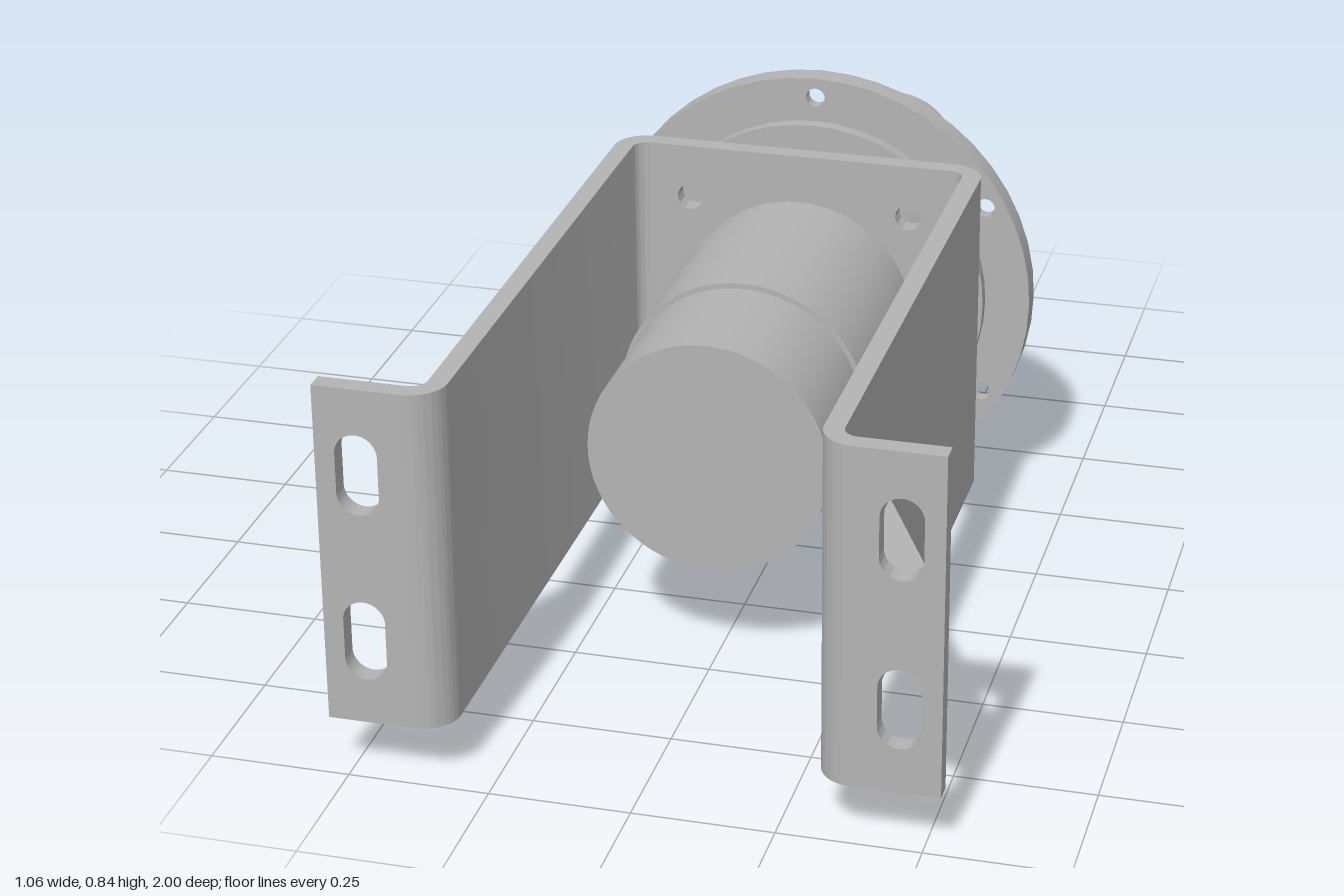
import * as THREE from 'three';
import { toCreasedNormals } from 'three/addons/utils/BufferGeometryUtils.js';

const AXIS_Y = 0.423, BOTTOM = 0.112, TOP = 0.735;

export function createModel() {
  const model = new THREE.Group();
  model.name = 'motorMount';
  const steel = new THREE.MeshStandardMaterial({ color: 0xb4b4b4 });
  steel.name = 'grey steel';

  const add = (parent, name, geometry) => {
    const mesh = new THREE.Mesh(geometry, steel);
    mesh.name = name;
    parent.add(mesh);
    return mesh;
  };
  const extrude = (shape, depth) => toCreasedNormals(
    new THREE.ExtrudeGeometry(shape, { depth, bevelEnabled: false, curveSegments: 24 }), 0.5);
  const circle = (x, y, r) => new THREE.Path().absarc(x, y, r, 0, Math.PI * 2, false);
  const ringOfHoles = (count, radius, r, start) => Array.from({ length: count }, (_, i) => {
    const a = start + i * Math.PI * 2 / count;
    return circle(Math.cos(a) * radius, Math.sin(a) * radius, r);
  });
  const rectangle = (x0, y0, x1, y1) => new THREE.Shape(
    [[x0, y0], [x1, y0], [x1, y1], [x0, y1]].map(p => new THREE.Vector2(...p)));

  // Bracket web with four bolt holes
  const bracket = new THREE.Group();
  bracket.name = 'bracket';
  model.add(bracket);
  const web = rectangle(-0.25, BOTTOM, 0.25, TOP);
  for (const x of [-0.21, 0.21]) for (const y of [-0.21, 0.21]) web.holes.push(circle(x, AXIS_Y + y, 0.025));
  add(bracket, 'bracketWeb', extrude(web, 0.035).translate(0, 0, -0.193));

  // Bent side wall, profile drawn in x and z
  const wall = new THREE.Shape();
  wall.moveTo(0.25, -0.193);
  wall.lineTo(0.288, -0.193);
  wall.absarc(0.288, -0.131, 0.062, -Math.PI / 2, 0, false);
  wall.lineTo(0.35, 0.938);
  wall.absarc(0.377, 0.938, 0.027, Math.PI, Math.PI / 2, true);
  wall.lineTo(0.395, 0.965);
  wall.lineTo(0.395, 1);
  wall.lineTo(0.377, 1);
  wall.absarc(0.377, 0.938, 0.062, Math.PI / 2, Math.PI, false);
  wall.lineTo(0.315, -0.131);
  wall.absarc(0.288, -0.131, 0.027, 0, -Math.PI / 2, true);
  wall.lineTo(0.25, -0.158);
  const wallGeometry = extrude(wall, TOP - BOTTOM).rotateX(Math.PI / 2).translate(0, TOP, 0);

  // Foot with two slots
  const foot = rectangle(0.395, BOTTOM, 0.53, TOP);
  for (const [low, high] of [[0.195, 0.342], [0.505, 0.652]]) {
    const slot = new THREE.Path(), r = 0.037, x = 0.458;
    slot.absarc(x, high - r, r, 0, Math.PI, false);
    slot.absarc(x, low + r, r, Math.PI, Math.PI * 2, false);
    slot.closePath();
    foot.holes.push(slot);
  }
  const footGeometry = extrude(foot, 0.035).translate(0, 0, 0.965);

  // Triangular rib behind the foot
  const rib = new THREE.Shape();
  rib.moveTo(0.345, 0.59);
  rib.lineTo(0.53, 0.965);
  rib.lineTo(0.375, 0.967);
  rib.lineTo(0.345, 0.94);
  const ribGeometry = extrude(rib, 0.036).rotateX(Math.PI / 2).translate(0, 0.4415, 0);

  for (const side of ['left', 'right']) {
    const half = new THREE.Group();
    half.name = side + 'BracketArm';
    add(half, side + 'Wall', wallGeometry);
    add(half, side + 'Foot', footGeometry);
    add(half, side + 'Rib', ribGeometry);
    if (side === 'right') {
      half.rotation.z = Math.PI;
      half.position.y = TOP + BOTTOM;
    }
    bracket.add(half);
  }

  // Everything turning about the main axis
  const drive = new THREE.Group();
  drive.name = 'driveLine';
  drive.position.y = AXIS_Y;
  model.add(drive);
  const rod = (name, r, z0, z1) => add(drive, name,
    new THREE.CylinderGeometry(r, r, z1 - z0, 64).rotateX(Math.PI / 2).translate(0, 0, (z0 + z1) / 2));
  const plate = (name, r, z0, z1, holes) => {
    const shape = new THREE.Shape().absarc(0, 0, r, 0, Math.PI * 2, false);
    shape.holes.push(...holes);
    add(drive, name, extrude(shape, z1 - z0).translate(0, 0, z0));
  };

  // Motor
  rod('motorRear', 0.218, 0.25, 0.5);
  rod('motorBody', 0.228, -0.08, 0.25);
  rod('motorNeck', 0.22, -0.19, -0.08);

  // Mounting plates, with counterbored bolt holes in the large one
  const boltHoles = () => ringOfHoles(4, 0.297, 0.025, Math.PI / 4);
  rod('gearboxFace', 0.272, -0.262, -0.193);
  plate('pilotPlate', 0.335, -0.287, -0.26, boltHoles());
  plate('mountPlateFront', 0.42, -0.31, -0.285,
    [...boltHoles(), ...ringOfHoles(6, 0.382, 0.018, Math.PI / 2)]);
  plate('mountPlateBack', 0.42, -0.332, -0.31,
    [...boltHoles(), ...ringOfHoles(6, 0.382, 0.03, Math.PI / 2)]);

  // Shaft and its hub
  plate('shaftHub', 0.092, -0.405, -0.33, ringOfHoles(6, 0.073, 0.013, 0));
  rod('shaft', 0.055, -0.55, -0.33);

  // Coupling
  plate('couplingFlange', 0.25, -0.61, -0.545, ringOfHoles(6, 0.205, 0.022, Math.PI / 6));
  rod('couplingBody', 0.161, -0.775, -0.608);
  rod('couplingNeck', 0.104, -0.988, -0.77);
  rod('couplingCollar', 0.127, -0.835, -0.822);
  rod('endCap', 0.127, -1, -0.986);

  // Teeth between the coupling body and the collar
  for (let i = 0; i < 6; i++) {
    const a = (i + 0.5) * Math.PI / 3, h = 0.285;
    const tooth = new THREE.Shape();
    tooth.absarc(0, 0, 0.125, a - h, a + h, false);
    tooth.absarc(0, 0, 0.095, a + h, a - h, true);
    add(drive, 'couplingTooth', extrude(tooth, 0.054).translate(0, 0, -0.825));
  }

  // Small set screws
  const screw = (radius, angle, z) => {
    const mesh = add(drive, 'setScrew', new THREE.CylinderGeometry(0.012, 0.012, 0.012, 16));
    mesh.position.set(Math.cos(angle) * radius, Math.sin(angle) * radius, z);
    mesh.rotation.z = angle - Math.PI / 2;
  };
  for (let i = 0; i < 6; i++) screw(0.1, (i + 0.5) * Math.PI / 3 - Math.PI / 6 + 0.04, -0.91);
  screw(0.088, Math.PI * 0.79, -0.37);

  return model;
}
